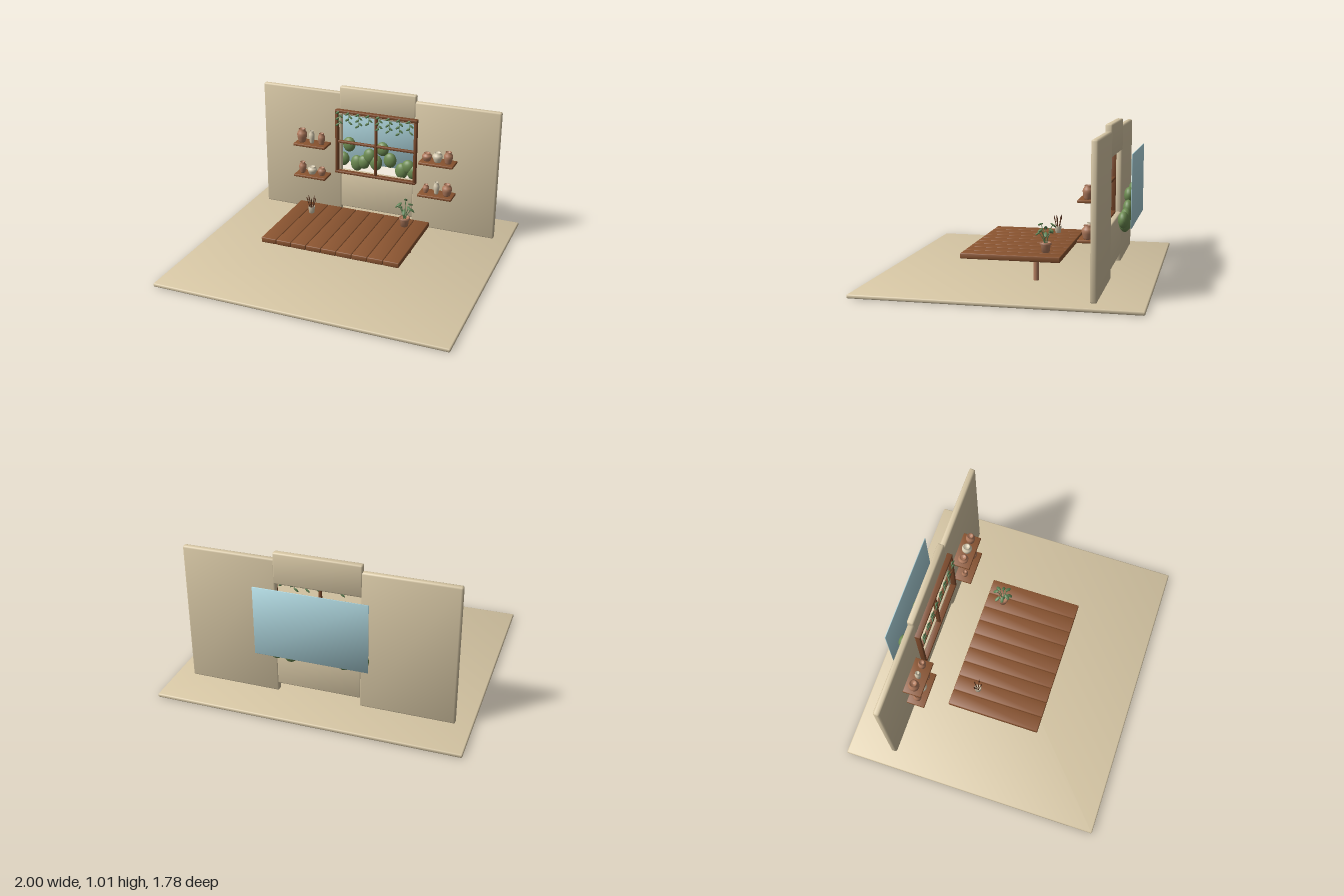
import * as THREE from 'three';
import { RoundedBoxGeometry } from 'three/addons/geometries/RoundedBoxGeometry.js';

const mat = (name, color, side = THREE.FrontSide) => {
  const m = new THREE.MeshStandardMaterial({ color, side });
  m.name = name;
  return m;
};

export function createModel() {
  const root = new THREE.Group();
  root.name = 'potteryRoom';
  const plaster = mat('plaster', 0xd6c6a4);
  const wood = mat('wood', 0x8a5430);
  const frameWood = mat('frameWood', 0x7d4a2b);
  const clay = mat('terracotta', 0xb27c5e, THREE.DoubleSide);
  const cream = mat('cream', 0xd9cdb2, THREE.DoubleSide);
  const bushGreen = mat('bushGreen', 0x6d8c52);
  const leafGreen = mat('leafGreen', 0x5c8252);
  const sky = mat('sky', 0xaed6de);
  const brushWood = mat('brushWood', 0x5c3620);

  const group = (name, parent = root) => {
    const g = new THREE.Group();
    g.name = name;
    parent.add(g);
    return g;
  };
  const add = (name, geo, material, parent, x = 0, y = 0, z = 0) => {
    const m = new THREE.Mesh(geo, material);
    m.name = name;
    m.position.set(x, y, z);
    parent.add(m);
    return m;
  };

  // Bevelled box given by its limits, with normals softened towards the corners
  const block = (name, material, parent, [x0, x1], [y0, y1], [z0, z1], r = 0.004, soft = 0.25) => {
    const geo = new RoundedBoxGeometry(x1 - x0, y1 - y0, z1 - z0, 1, r);
    const p = geo.attributes.position, n = geo.attributes.normal;
    const v = new THREE.Vector3();
    for (let i = 0; i < p.count; i++) {
      v.fromBufferAttribute(n, i);
      v.x += soft * Math.sign(p.getX(i));
      v.y += soft * Math.sign(p.getY(i));
      v.z += soft * Math.sign(p.getZ(i));
      v.normalize();
      n.setXYZ(i, v.x, v.y, v.z);
    }
    return add(name, geo, material, parent, (x0 + x1) / 2, (y0 + y1) / 2, (z0 + z1) / 2);
  };

  // Floor and wall panels around the window opening
  block('floor', plaster, root, [-1, 1], [0, 0.025], [-0.888, 0.888], 0.008);
  const wall = group('wall');
  const wz = [-0.6, -0.558];
  block('rightWall', plaster, wall, [-0.89, -0.273], [0.02, 0.967], wz, 0.012);
  block('leftWall', plaster, wall, [0.273, 0.888], [0.02, 0.967], wz, 0.012);
  block('wallAboveWindow', plaster, wall, [-0.287, 0.285], [0.8, 1.012], [-0.602, -0.556], 0.01);
  block('wallBelowWindow', plaster, wall, [-0.28, 0.28], [0.08, 0.37], [-0.599, -0.559], 0.008);

  // Window frame
  const win = group('windowFrame');
  const fz = [-0.558, -0.522];
  for (const x of [-0.299, 0.297])
    block('framePost', frameWood, win, [x - 0.01, x + 0.01], [0.358, 0.845], fz);
  block('mullion', frameWood, win, [-0.009, 0.008], [0.365, 0.835], [-0.556, -0.528]);
  block('topRail', frameWood, win, [-0.31, 0.308], [0.826, 0.846], [-0.56, -0.52]);
  block('crossRail', frameWood, win, [-0.3, 0.3], [0.593, 0.61], [-0.555, -0.53]);
  block('bottomRail', frameWood, win, [-0.31, 0.308], [0.358, 0.376], [-0.56, -0.52]);

  // Garden behind the window
  const garden = group('garden');
  block('skyPanel', sky, garden, [-0.37, 0.366], [0.37, 0.835], [-0.738, -0.732], 0.002, 0.7);
  const bushGeo = new THREE.SphereGeometry(1, 20, 14);
  const bushes = [
    [-0.31, 0.41], [-0.262, 0.53], [-0.2, 0.39], [-0.147, 0.405], [-0.1, 0.46],
    [-0.05, 0.415], [0, 0.53], [0.06, 0.45], [0.15, 0.38], [0.2, 0.42], [0.24, 0.385],
    [0.285, 0.4], [0.328, 0.42],
  ];
  bushes.forEach(([x, y], i) =>
    add('bush', bushGeo, bushGreen, garden, x, y, -0.682).scale.set(0.048, 0.053 + 0.004 * (i % 3), 0.034));

  // Flat leaf, long along local y
  const leafGeo = new THREE.SphereGeometry(1, 8, 6);
  const leaf = (parent, x, y, z, w, l, tilt) => {
    const m = add('leaf', leafGeo, leafGreen, parent, x, y, z);
    m.scale.set(w, l, 0.005);
    m.rotation.z = tilt;
    return m;
  };

  // Hanging vine strands along the window top
  const vine = group('hangingVine');
  [0.748, 0.772, 0.752, 0.782, 0.752, 0.746, 0.738, 0.758].forEach((end, i) => {
    const x = -0.272 + i * 0.0762, top = 0.838;
    add('vineStem', new THREE.CylinderGeometry(0.002, 0.002, top - end, 5), leafGreen, vine,
      x, (top + end) / 2, -0.508);
    const n = Math.round((top - end) / 0.024);
    for (let k = 0; k <= n; k++) {
      const s = k % 2 ? 1 : -1;
      leaf(vine, x + s * 0.012, top - 0.006 - (k * (top - end)) / n, -0.507, 0.008, 0.019, s * 0.9);
    }
  });

  // Shelves and their pots: [material, radius, height]
  const potProfile = [[0, 0], [0.6, 0], [0.72, 0.1], [0.95, 0.42], [1, 0.6], [0.9, 0.76],
    [0.62, 0.88], [0.68, 1], [0.56, 1], [0.5, 0.88], [0, 0.8]];
  const pot = (material, r, h, parent, x, y, z) =>
    add('pot', new THREE.LatheGeometry(
      potProfile.map(([a, b]) => new THREE.Vector2(a * r, b * h)), 24), material, parent, x, y, z);
  const shelves = [
    [-0.48, 0.577, [[clay, 0.037, 0.1], [cream, 0.021, 0.094], [clay, 0.027, 0.085]]],
    [-0.48, 0.333, [[clay, 0.028, 0.084], [cream, 0.035, 0.058], [clay, 0.03, 0.06]]],
    [0.476, 0.577, [[clay, 0.035, 0.056], [cream, 0.035, 0.07], [clay, 0.032, 0.086]]],
    [0.476, 0.333, [[clay, 0.023, 0.06], [cream, 0.021, 0.09], [clay, 0.036, 0.086]]],
  ];
  for (const [x, y, pots] of shelves) {
    const g = group('shelf');
    block('shelfBoard', wood, g, [x - 0.124, x + 0.124], [y - 0.018, y], [-0.56, -0.434]);
    pots.forEach(([m, r, h], i) => pot(m, r, h, g, x + (i - 1) * 0.077, y, -0.492));
  }

  // Plank table on two legs
  const table = group('table');
  const pw = 0.978 / 9;
  for (let i = 0; i < 9; i++) {
    const x = -0.49 + i * pw;
    block('tablePlank', wood, table, [x + 0.001, x + pw - 0.001], [0.16, 0.196], [-0.31, 0.332], 0.005);
  }
  for (const x of [-0.401, 0.399])
    add('tableLeg', new THREE.CylinderGeometry(0.017, 0.017, 0.14, 16), clay, table, x, 0.093, -0.143);

  // Cup with brushes
  const cup = group('brushCup');
  cup.position.set(-0.333, 0.196, -0.147);
  const cupShape = [[0, 0], [0.019, 0], [0.024, 0.048], [0.02, 0.048], [0.018, 0.03], [0, 0.03]];
  add('cup', new THREE.LatheGeometry(cupShape.map(p => new THREE.Vector2(...p)), 20), cream, cup);
  for (let i = 0; i < 5; i++) {
    const b = group('brush', cup), a = i * 1.257;
    b.position.set(Math.cos(a) * 0.008, 0.03, Math.sin(a) * 0.008);
    b.rotation.set(Math.sin(a) * 0.22, 0, -Math.cos(a) * 0.3);
    add('brushHandle', new THREE.CylinderGeometry(0.003, 0.003, 0.075, 8), brushWood, b, 0, 0.037, 0);
    add('brushTip', new THREE.ConeGeometry(0.006, 0.026, 8), brushWood, b, 0, 0.085, 0);
  }

  // Potted plant
  const plant = group('pottedPlant');
  plant.position.set(0.345, 0.196, -0.193);
  const planter = [[0, 0], [0.025, 0], [0.032, 0.05], [0.038, 0.05], [0.038, 0.064], [0.031, 0.064], [0.03, 0.055], [0, 0.055]];
  add('planter', new THREE.LatheGeometry(planter.map(p => new THREE.Vector2(...p)), 24), clay, plant);
  for (let i = 0; i < 8; i++) {
    const a = (i * Math.PI) / 4 + 0.2, r = 0.044, h = 0.128 + 0.026 * (i % 3 - 0.2);
    const arm = group('plantBranch', plant);
    arm.rotation.y = a;
    const path = new THREE.QuadraticBezierCurve3(
      new THREE.Vector3(0.006, 0.05, 0), new THREE.Vector3(0.016, h * 0.8, 0), new THREE.Vector3(r, h, 0));
    add('plantStem', new THREE.TubeGeometry(path, 6, 0.0026, 5), leafGreen, arm);
    leaf(arm, r + 0.004, h, 0, 0.006, 0.025, 0.9 + 0.3 * (i % 2)).scale.set(0.006, 0.023, 0.012);
  }
  return root;
}
